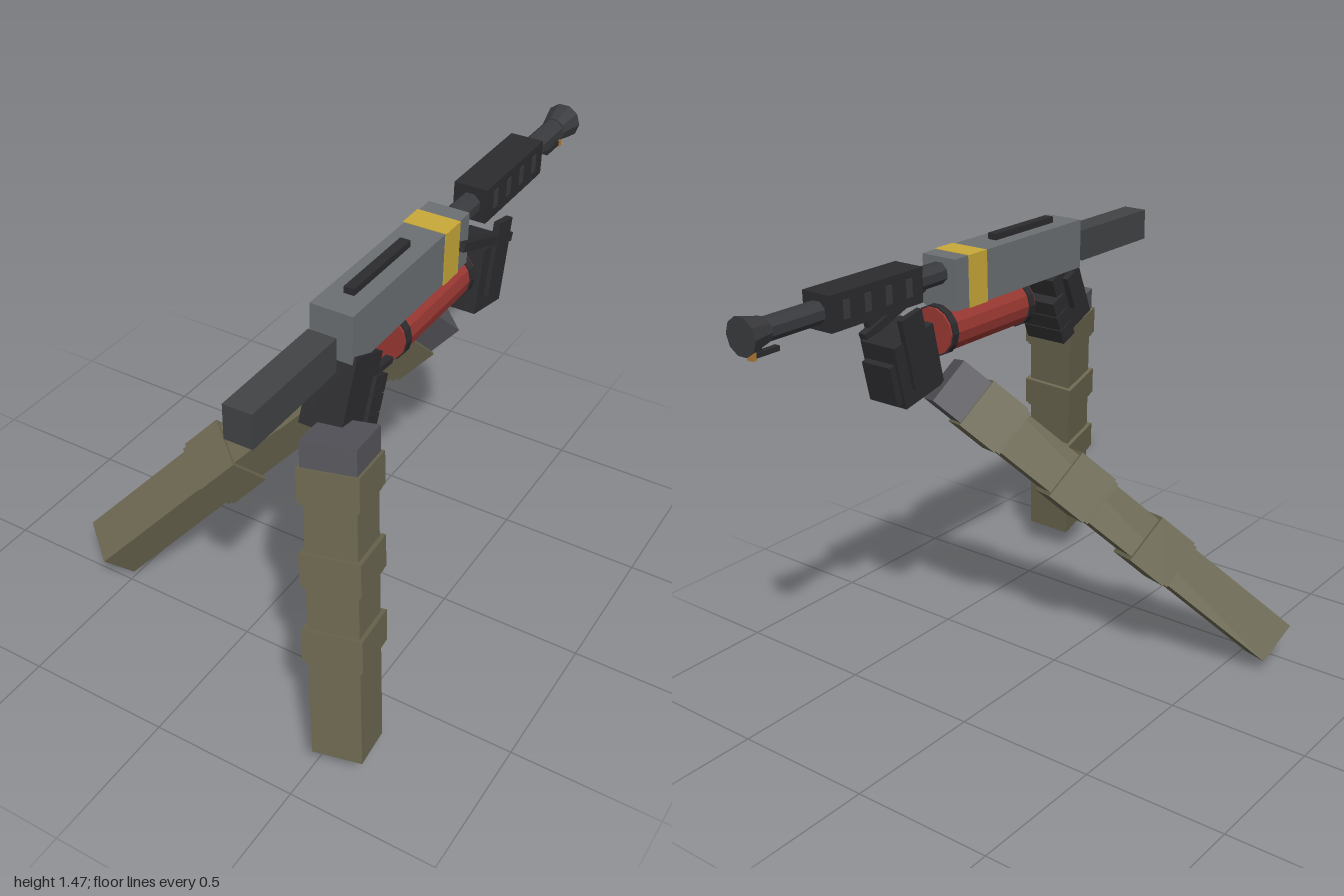
import * as THREE from 'three';

const mat = (color) => new THREE.MeshStandardMaterial({ color, flatShading: true });
const M = {
  steel: mat(0x6b7073), stock: mat(0x414446), black: mat(0x2c2c2f), dark: mat(0x3a3b3e),
  red: mat(0x9a3832), yellow: mat(0xc9a93a), sleeve: mat(0x6b6750), cuff: mat(0x56555b), orange: mat(0xb07a35),
};
const GX = 0.36; // the gun's centre line

function add(parent, name, geometry, material, x = 0, y = 0, z = 0) {
  const mesh = new THREE.Mesh(geometry, material);
  mesh.name = name;
  mesh.position.set(x, y, z);
  parent.add(mesh);
  return mesh;
}
const box = (parent, name, material, [w, h, d], [x, y, z]) =>
  add(parent, name, new THREE.BoxGeometry(w, h, d), material, x, y, z);

// Round part along z, from z0 (radius r0) to z1 (radius r1)
function round(parent, name, material, r0, r1, z0, z1, y, sides) {
  const g = new THREE.CylinderGeometry(r1, r0, Math.abs(z1 - z0), sides);
  g.rotateY(Math.PI / sides).rotateX(z1 < z0 ? -Math.PI / 2 : Math.PI / 2);
  return add(parent, name, g, material, GX, y, (z0 + z1) / 2);
}

function makeGun() {
  const gun = new THREE.Group();
  gun.name = 'gun';
  box(gun, 'receiver', M.steel, [0.14, 0.174, 0.69], [GX, 1.37, 0.199]);
  box(gun, 'receiverBand', M.yellow, [0.148, 0.178, 0.092], [GX, 1.37, -0.034]);
  box(gun, 'topRail', M.black, [0.034, 0.024, 0.32], [GX, 1.467, 0.29]);
  box(gun, 'stock', M.stock, [0.092, 0.112, 0.41], [GX, 1.35, 0.795]);

  // barrel, muzzle flare and the sight tab under it
  round(gun, 'barrel', M.dark, 0.038, 0.038, -0.14, -0.93, 1.403, 8);
  round(gun, 'muzzle', M.dark, 0.042, 0.062, -0.915, -1, 1.403, 10);
  box(gun, 'muzzleTab', M.black, [0.02, 0.016, 0.1], [GX, 1.337, -0.915]);
  box(gun, 'muzzleTabPost', M.black, [0.014, 0.04, 0.02], [GX, 1.355, -0.94]);
  box(gun, 'tabTip', M.orange, [0.024, 0.024, 0.016], [GX, 1.336, -0.966]);

  // pump handle with shallow slots on both sides
  box(gun, 'pump', M.black, [0.115, 0.117, 0.41], [GX, 1.405, -0.495]);
  for (let i = 0; i < 4; i++) {
    box(gun, 'pumpSlot', M.dark, [0.121, 0.06, 0.026], [GX, 1.408, -0.355 - i * 0.093]);
  }

  // canister slung below the receiver
  round(gun, 'canister', M.red, 0.082, 0.082, 0.262, -0.19, 1.214, 14);
  for (const z of [0.24, -0.168]) {
    round(gun, 'canisterRing', M.black, 0.087, 0.087, z + 0.014, z - 0.014, 1.214, 14);
  }
  return gun;
}

// Rear hand on the grip, with curled fingers and a trigger finger
function makeRearHand() {
  const hand = new THREE.Group();
  hand.name = 'rearHand';
  hand.position.set(0.37, 1.182, 0.507);
  hand.rotation.x = -0.385;
  box(hand, 'palm', M.black, [0.14, 0.237, 0.156], [0, 0, 0]);
  for (let i = 0; i < 3; i++) {
    box(hand, 'finger', M.black, [0.165, 0.056, 0.07], [0, 0.02 - i * 0.06, -0.085]);
  }
  box(hand, 'thumb', M.black, [0.03, 0.13, 0.05], [-0.078, 0.03, 0]);
  const finger = box(hand, 'triggerFinger', M.black, [0.024, 0.02, 0.1], [0.05, 0.06, -0.13]);
  finger.rotation.x = 0.3;
  return hand;
}

// Front hand below the pump, its fingers reaching up both sides
function makeFrontHand() {
  const hand = new THREE.Group();
  hand.name = 'frontHand';
  hand.position.set(0.365, 1.145, -0.33);
  hand.rotation.x = -0.21;
  box(hand, 'palm', M.black, [0.145, 0.22, 0.19], [0, 0, 0]);
  for (const s of [-1, 1]) {
    box(hand, 'sidePlate', M.black, [0.022, 0.25, 0.095], [s * 0.077, 0.065, -0.005]);
  }
  box(hand, 'knuckles', M.black, [0.12, 0.14, 0.03], [0, -0.02, -0.105]);
  box(hand, 'heel', M.black, [0.1, 0.02, 0.06], [0, -0.115, -0.04]);
  return hand;
}

// Sleeved arm from its cut end to the wrist; side is the direction of its width
function makeArm(name, from, to, side, width, depth) {
  const arm = new THREE.Group();
  arm.name = name;
  const start = new THREE.Vector3(...from);
  const axis = new THREE.Vector3(...to).sub(start);
  const length = axis.length();
  axis.normalize();
  const z = new THREE.Vector3(...side).cross(axis).normalize();
  const x = axis.clone().cross(z);
  arm.quaternion.setFromRotationMatrix(new THREE.Matrix4().makeBasis(x, axis, z));
  arm.position.copy(start);
  const piece = (part, material, t0, t1, s) => box(arm, part, material,
    [width * s, length * (t1 - t0), depth * s], [0, length * (t0 + t1) / 2, 0]);

  piece('sleeve', M.sleeve, 0, 0.91, 1);
  for (const t of [0.32, 0.563, 0.822]) {
    piece('sleeveFold', M.sleeve, t, t + 0.1, 1.17);
    piece('foldUnderside', M.sleeve, t - 0.012, t, 1.09);
  }
  piece('cuff', M.cuff, 0.91, 1, 1.06);
  return arm;
}

export function createModel() {
  const model = new THREE.Group();
  model.name = 'armsHoldingGun';
  model.add(makeGun(), makeRearHand(), makeFrontHand());

  // long thumb laid along the left side of the gun
  const thumb = box(model, 'frontThumb', M.black, [0.03, 0.03, 0.375], [0.435, 1.305, -0.26]);
  thumb.rotation.x = -0.352;

  model.add(
    makeArm('rightArm', [-0.6, 0.084, 0.468], [0.3, 1.064, -0.208], [0.13, -0.047, 0.1], 0.17, 0.157),
    makeArm('leftArm', [0.587, 0.107, 0.81], [0.45, 1.137, 0.642], [0.16, 0.023, -0.026], 0.165, 0.165),
  );
  return model;
}
